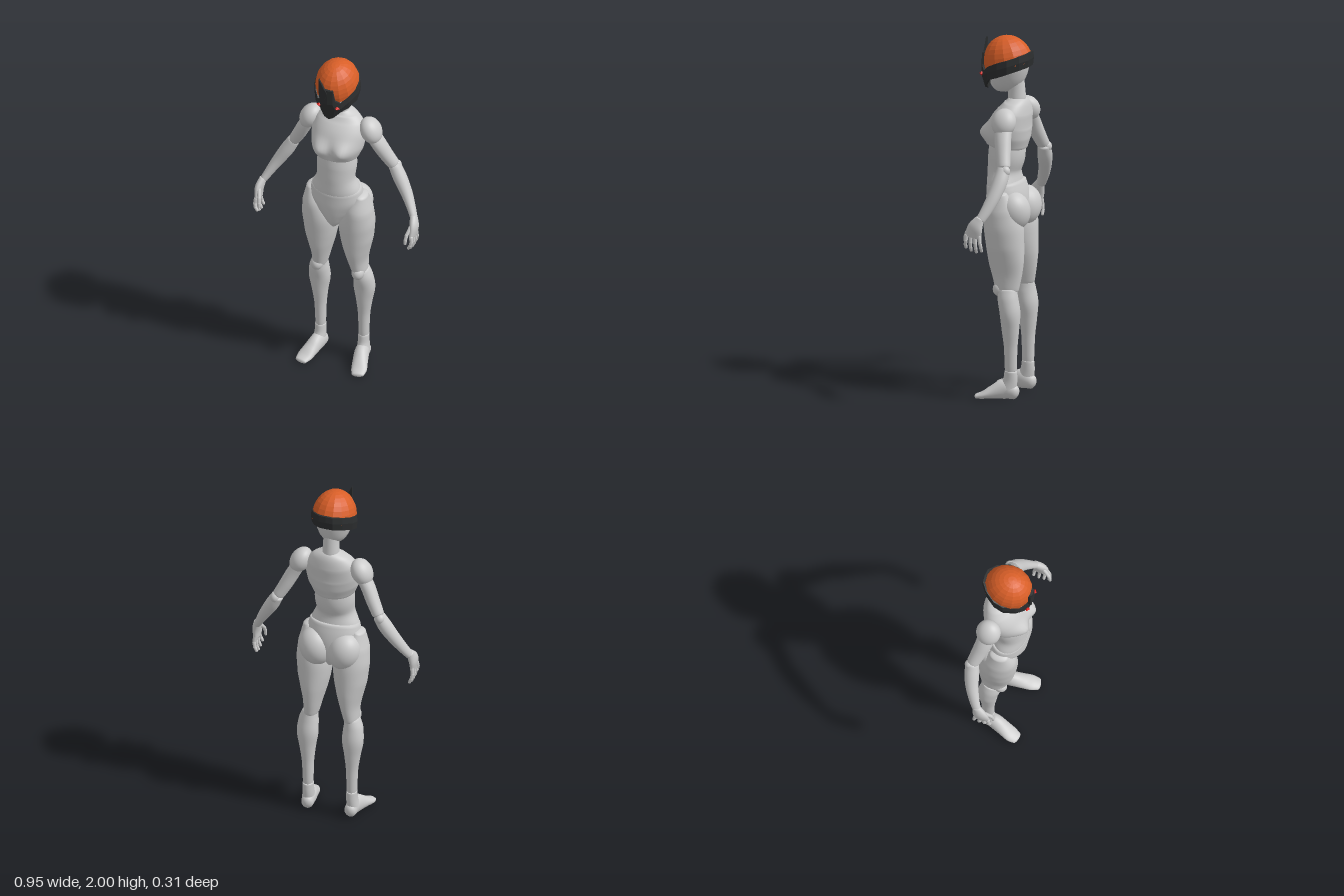
import * as THREE from 'three';

const V = (x, y, z) => new THREE.Vector3(x, y, z);
const grey = new THREE.MeshStandardMaterial({ color: 0xcccccc });
const orange = new THREE.MeshStandardMaterial({ color: 0xd95f28, flatShading: true, side: THREE.DoubleSide });
const black = new THREE.MeshStandardMaterial({ color: 0x2c2e2f, flatShading: true, side: THREE.DoubleSide });
const red = new THREE.MeshStandardMaterial({ color: 0xe0201a, flatShading: true });

// Smooth body part: elliptical rings [x, y, z, radiusAcross, radiusDeep] along a path, with rounded ends.
function limb(name, pts, { s = 1, round = 0.4, steps = 5, seg = 28, rule } = {}) {
  const path = new THREE.CatmullRomCurve3(pts.map(p => V(p[0] * s, p[1], p[2])));
  const radii = new THREE.CatmullRomCurve3(pts.map(p => V(p[3], p[4], 0)));
  const n = (pts.length - 1) * steps, rings = [];
  const addRing = (t, shift, k) => {
    const T = path.getTangent(t), r = radii.getPoint(t);
    const c = path.getPoint(t).addScaledVector(T, shift * Math.min(r.x, r.y) * round);
    const A = V(1, 0, 0).addScaledVector(T, -T.x).normalize();
    rings.push({ c, A, B: T.clone().cross(A), rx: r.x * k, ry: r.y * k });
  };
  for (let i = 0; i < 5; i++) { const a = i / 5 * Math.PI / 2; addRing(0, -Math.cos(a), Math.max(Math.sin(a), 0.001)); }
  for (let i = 0; i <= n; i++) addRing(i / n, 0, 1);
  for (let i = 4; i >= 0; i--) { const a = i / 5 * Math.PI / 2; addRing(1, Math.cos(a), Math.max(Math.sin(a), 0.001)); }
  const pos = [], idx = [];
  rings.forEach((g, i) => {
    for (let j = 0; j < seg; j++) {
      const a = j / seg * Math.PI * 2;
      const p = g.c.clone().addScaledVector(g.A, Math.cos(a) * g.rx).addScaledVector(g.B, Math.sin(a) * g.ry);
      if (rule) rule(p);
      pos.push(p.x, p.y, p.z);
      if (i < rings.length - 1) {
        const q = i * seg + j, r = i * seg + (j + 1) % seg;
        idx.push(q, r, q + seg, r, r + seg, q + seg);
      }
    }
  });
  const geo = new THREE.BufferGeometry();
  geo.setAttribute('position', new THREE.Float32BufferAttribute(pos, 3));
  geo.setIndex(idx);
  geo.computeVertexNormals();
  const mesh = new THREE.Mesh(geo, grey);
  mesh.name = name;
  return mesh;
}

function ball(name, [x, y, z], [rx, ry, rz], tilt = 0) {
  const mesh = new THREE.Mesh(new THREE.SphereGeometry(1, 28, 20).scale(rx, ry, rz), grey);
  mesh.position.set(x, y, z);
  mesh.rotation.z = tilt;
  mesh.name = name;
  return mesh;
}

// Faceted visor band running round the head: half profile of [x, z, top y, bottom y], mirrored.
function visorBand() {
  const half = [
    [0, 0.152, 1.9, 1.7], [0.03, 0.148, 1.9, 1.712], [0.042, 0.143, 1.835, 1.722],
    [0.07, 0.122, 1.812, 1.745], [0.1, 0.085, 1.842, 1.768], [0.128, 0.02, 1.872, 1.79],
    [0.122, -0.035, 1.888, 1.81], [0.085, -0.095, 1.908, 1.83], [0.04, -0.132, 1.918, 1.842], [0, -0.135, 1.92, 1.843]];
  const loop = [...half, ...half.slice(1, -1).reverse().map(([x, ...r]) => [-x, ...r])];
  // outer top, middle, bottom, then the inner side
  const columns = loop.map(([x, z, t, b]) => {
    const tuck = z > 0.1 ? 0.86 : 0.96;
    return [V(x * 0.97, t, z * 0.97), V(x, t * 0.55 + b * 0.45, z), V(x * tuck, b, z * tuck),
      V(x * tuck * 0.92, b, z * tuck * 0.9), V(x * 0.9, t, z * 0.88)];
  });
  const pos = [];
  columns.forEach((c, i) => {
    const d = columns[(i + 1) % columns.length];
    for (let k = 0; k < 5; k++) {
      const m = (k + 1) % 5;
      for (const p of [c[k], c[m], d[k], d[k], c[m], d[m]]) pos.push(p.x, p.y, p.z);
    }
  });
  const geo = new THREE.BufferGeometry();
  geo.setAttribute('position', new THREE.Float32BufferAttribute(pos, 3));
  geo.computeVertexNormals();
  const mesh = new THREE.Mesh(geo, black);
  mesh.name = 'visorBand';
  return mesh;
}

function helmet() {
  const g = new THREE.Group();
  g.name = 'helmet';
  // faceted shell, tipped forward
  const shell = new THREE.Mesh(
    new THREE.SphereGeometry(1, 15, 9, 0, Math.PI * 2, 0, Math.PI * 0.54).scale(0.119, 0.142, 0.136), orange);
  shell.position.set(0, 1.86, 0.003);
  shell.rotation.x = 0.2;
  shell.name = 'helmetShell';
  // single blade on the brow
  const outline = [[-0.05, 1.97], [-0.022, 1.915], [0, 1.88], [-0.03, 1.8], [-0.048, 1.86]];
  const blade = new THREE.Mesh(new THREE.ExtrudeGeometry(
    new THREE.Shape(outline.map(p => new THREE.Vector2(...p))), { depth: 0.012, bevelEnabled: false }), black);
  blade.position.z = 0.14;
  blade.name = 'browBlade';
  g.add(shell, visorBand(), blade);
  for (const s of [1, -1]) {
    const eye = new THREE.Mesh(new THREE.OctahedronGeometry(1).scale(0.017, 0.012, 0.014), red);
    eye.position.set(s * 0.052, 1.79, 0.136);
    eye.name = 'eyeLight';
    g.add(eye);
  }
  return g;
}

function arm(s) {
  const g = new THREE.Group();
  g.name = s > 0 ? 'leftArm' : 'rightArm';
  g.add(
    ball('shoulder', [s * 0.177, 1.56, -0.042], [0.056, 0.078, 0.068], s * 0.5),
    limb('upperArm', [[0.18, 1.54, -0.045, 0.036, 0.048], [0.215, 1.48, -0.052, 0.038, 0.047],
      [0.25, 1.41, -0.068, 0.037, 0.042], [0.288, 1.34, -0.086, 0.033, 0.036]], { s }),
    ball('elbow', [s * 0.305, 1.322, -0.102], [0.026, 0.03, 0.027]),
    limb('forearm', [[0.297, 1.325, -0.088, 0.034, 0.036], [0.33, 1.265, -0.08, 0.038, 0.041],
      [0.378, 1.185, -0.06, 0.032, 0.036], [0.418, 1.115, -0.032, 0.024, 0.03], [0.44, 1.075, -0.012, 0.02, 0.026]], { s }),
    limb('palm', [[0.443, 1.08, -0.008, 0.02, 0.025], [0.455, 1.03, 0.015, 0.022, 0.043],
      [0.454, 0.98, 0.026, 0.016, 0.046]], { s }));
  // jointed fingers, front to back, then the thumb
  const digits = [];
  [0.915, 0.9, 0.893, 0.9].forEach((tip, i) => {
    const z = 0.062 - i * 0.024, lean = (1.5 - i) * 0.006;
    const y = k => 0.985 + (tip - 0.985) * k;
    digits.push([V(0.456, y(0), z), V(0.46, y(0.4), z + lean * 0.5), V(0.455, y(0.72), z + lean), V(0.444, y(1), z + lean)]);
  });
  digits.push([V(0.445, 1.035, 0.042), V(0.434, 1.0, 0.07), V(0.431, 0.975, 0.08), V(0.43, 0.95, 0.083)]);
  digits.forEach((d, i) => {
    for (let k = 0; k < 3; k++) {
      const r = 0.0115 - k * 0.001;
      g.add(limb(i < 4 ? 'finger' : 'thumb', [[d[k].x, d[k].y, d[k].z, r, r],
        [d[k + 1].x, d[k + 1].y, d[k + 1].z, r * 0.85, r * 0.85]], { s, round: 0.8, seg: 12, steps: 2 }));
    }
  });
  return g;
}

function leg(s) {
  const g = new THREE.Group();
  g.name = s > 0 ? 'leftLeg' : 'rightLeg';
  g.add(
    limb('thigh', [[0.143, 1.145, 0.005, 0.035, 0.052], [0.123, 1.06, 0.0, 0.078, 0.096], [0.106, 0.95, -0.014, 0.099, 0.11],
      [0.105, 0.85, -0.022, 0.09, 0.106], [0.105, 0.77, -0.028, 0.072, 0.1], [0.108, 0.69, -0.034, 0.052, 0.085],
      [0.117, 0.61, -0.038, 0.04, 0.066]], { s }),
    ball('knee', [s * 0.12, 0.612, 0.005], [0.034, 0.04, 0.038]),
    limb('shin', [[0.122, 0.61, -0.043, 0.042, 0.053], [0.129, 0.56, -0.048, 0.054, 0.057], [0.131, 0.49, -0.06, 0.06, 0.056],
      [0.13, 0.4, -0.062, 0.046, 0.049], [0.128, 0.3, -0.063, 0.033, 0.038], [0.127, 0.165, -0.063, 0.028, 0.033]], { s, round: 0.2 }),
    limb('ankle', [[0.127, 0.16, -0.063, 0.03, 0.035], [0.127, 0.11, -0.06, 0.031, 0.04], [0.13, 0.055, -0.045, 0.036, 0.05]], { s, round: 0.2 }),
    limb('foot', [[0.125, 0.045, -0.08, 0.034, 0.04], [0.13, 0.058, -0.03, 0.039, 0.054], [0.146, 0.04, 0.035, 0.042, 0.037],
      [0.16, 0.023, 0.085, 0.043, 0.021], [0.167, 0.016, 0.118, 0.034, 0.014]], { s, round: 0.85 }),
    ball('buttock', [s * 0.082, 1.045, -0.062], [0.092, 0.11, 0.092], s * -0.25));
  return g;
}

export function createModel() {
  const model = new THREE.Group();
  model.name = 'mannequin';
  // the chest swells forward on each side of the centre line
  const bust = p => {
    if (p.z > 0) p.z += 0.04 * Math.min(1, p.z / 0.06)
      * Math.exp(-(((Math.abs(p.x) - 0.07) / 0.05) ** 2) - ((p.y - 1.47) / 0.05) ** 2);
  };
  model.add(
    limb('chest', [[0, 1.66, -0.05, 0.052, 0.048], [0, 1.635, -0.05, 0.098, 0.066], [0, 1.59, -0.042, 0.138, 0.086],
      [0, 1.52, -0.017, 0.153, 0.11], [0, 1.46, -0.002, 0.146, 0.117], [0, 1.395, 0.006, 0.119, 0.108]], { round: 0.12, seg: 48, steps: 7, rule: bust }),
    limb('abdomen', [[0, 1.45, 0.005, 0.1, 0.09], [0, 1.34, 0.01, 0.111, 0.1], [0, 1.26, 0.023, 0.107, 0.09],
      [0, 1.19, 0.02, 0.134, 0.094], [0, 1.13, 0.01, 0.148, 0.1]], { seg: 40 }),
    limb('pelvis', [[0, 1.185, 0.014, 0.141, 0.101], [0, 1.12, 0.005, 0.152, 0.111], [0, 1.04, 0.0, 0.11, 0.112],
      [0, 0.98, -0.002, 0.06, 0.1], [0, 0.94, -0.005, 0.025, 0.075]], { round: 0.15, seg: 40 }),
    limb('neck', [[0, 1.81, -0.035, 0.046, 0.048], [0, 1.73, -0.045, 0.043, 0.047], [0, 1.65, -0.05, 0.048, 0.05]]),
    limb('head', [[0, 1.92, 0, 0.1, 0.115], [0, 1.85, 0.005, 0.107, 0.12], [0, 1.79, 0.015, 0.092, 0.108],
      [0, 1.745, 0.045, 0.068, 0.078], [0, 1.715, 0.075, 0.035, 0.04]], { round: 0.3 }),
    helmet());
  for (const s of [1, -1]) model.add(arm(s), leg(s));
  return model;
}
